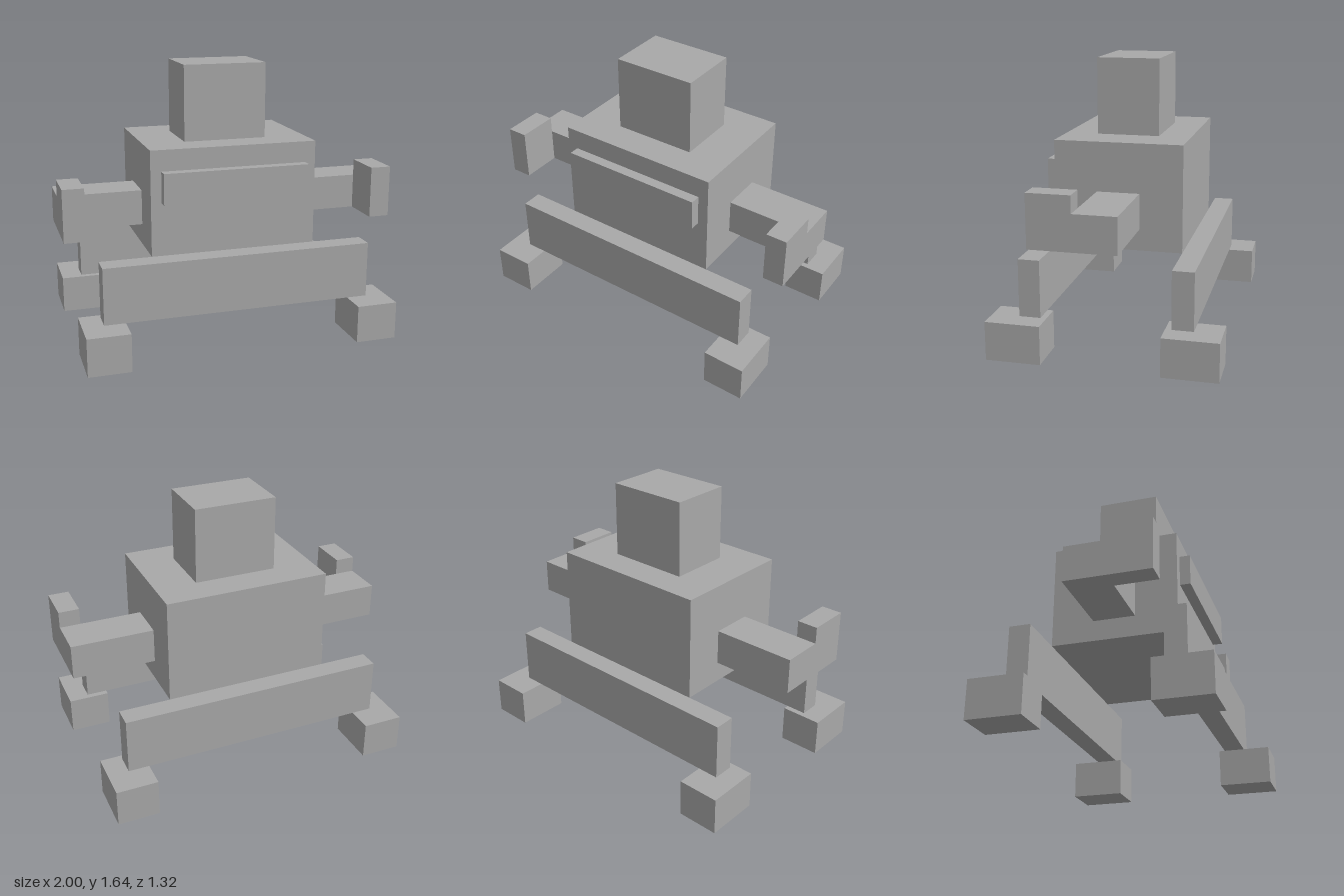
import * as THREE from 'three';

export function createModel() {
  const model = new THREE.Group();
  model.name = 'blockRobot';
  const grey = new THREE.MeshStandardMaterial({ color: 0xa8a8a8 });
  grey.name = 'grey';

  // Adds a box spanning the given minimum and maximum on each axis
  const block = (name, [x0, x1], [y0, y1], [z0, z1]) => {
    const mesh = new THREE.Mesh(new THREE.BoxGeometry(x1 - x0, y1 - y0, z1 - z0), grey);
    mesh.position.set((x0 + x1) / 2, (y0 + y1) / 2, (z0 + z1) / 2);
    mesh.name = name;
    model.add(mesh);
  };
  // Reverses a span when mirrored to the negative side
  const span = (side, a, b) => (side > 0 ? [a, b] : [-b, -a]);

  // Body
  block('torso', [-0.5, 0.5], [0.565, 1.19], [-0.375, 0.375]);
  block('head', [-0.25, 0.25], [1.19, 1.64], [-0.185, 0.185]);
  block('chestPanel', [-0.437, 0.437], [0.88, 1.065], [0.375, 0.437]);

  // Arms with raised forearms pointing forward
  for (const [label, side] of [['left', 1], ['right', -1]]) {
    block(label + 'UpperArm', span(side, 0.5, 1), [0.69, 0.9], [-0.125, 0.125]);
    block(label + 'Forearm', span(side, 0.875, 1), [0.69, 1.0], [0.125, 0.375]);
  }

  // Wide leg beams at front and back, with a foot under each end
  for (const [end, zSide] of [['front', 1], ['back', -1]]) {
    block(end + 'LegBeam', [-0.81, 0.81], [0.227, 0.565], span(zSide, 0.375, 0.5));
    for (const [label, xSide] of [['Left', 1], ['Right', -1]]) {
      block(end + label + 'Foot', span(xSide, 0.685, 0.935), [0, 0.227], span(zSide, 0.34, 0.66));
    }
  }
  return model;
}
